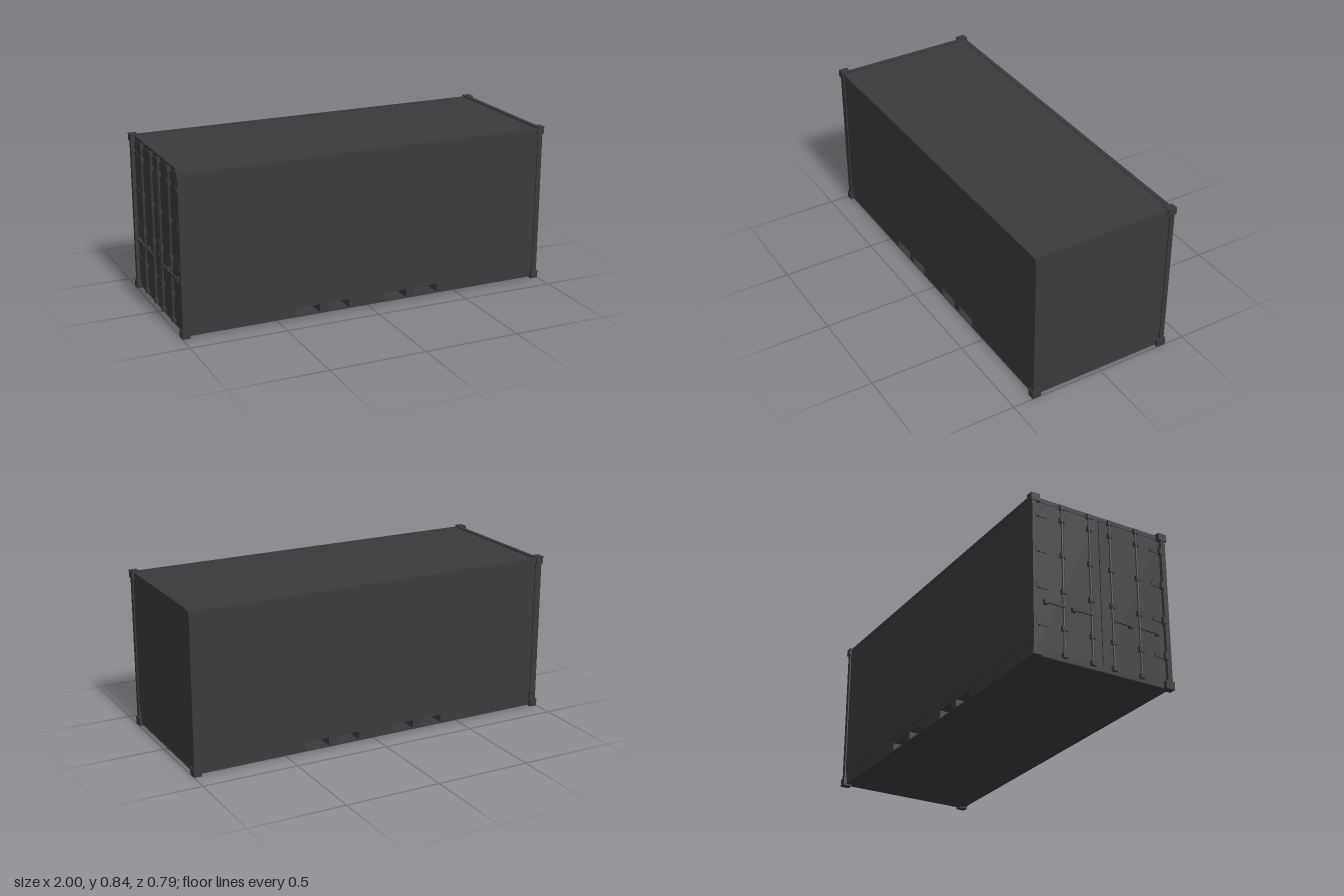
import * as THREE from 'three';

const paint = new THREE.MeshStandardMaterial({ color: 0x3a3a3a });

export function createModel() {
  const model = new THREE.Group();

  // Box given by its minimum and maximum corners
  function block(name, x0, x1, y0, y1, z0, z1, parent = model) {
    const mesh = new THREE.Mesh(new THREE.BoxGeometry(x1 - x0, y1 - y0, z1 - z0), paint);
    mesh.position.set((x0 + x1) / 2, (y0 + y1) / 2, (z0 + z1) / 2);
    mesh.name = name;
    parent.add(mesh);
    return mesh;
  }
  // Same box on both long sides, z0..z1 given for the front
  function pair(name, x0, x1, y0, y1, z0, z1, parent = model) {
    block(name, x0, x1, y0, y1, z0, z1, parent);
    block(name, x0, x1, y0, y1, -z1, -z0, parent);
  }

  // Base frame with four forklift tunnels running through it
  const pockets = [[-0.4, -0.27], [-0.23, -0.11], [0.09, 0.215], [0.26, 0.395]];
  const outline = new THREE.Shape();
  outline.moveTo(-0.97, 0.011);
  for (const [a, b] of pockets) {
    outline.lineTo(a, 0.011);
    outline.lineTo(a, 0.055);
    outline.lineTo(b, 0.055);
    outline.lineTo(b, 0.011);
  }
  outline.lineTo(0.982, 0.011);
  outline.lineTo(0.982, 0.08);
  outline.lineTo(-0.97, 0.08);
  outline.closePath();
  const baseGeometry = new THREE.ExtrudeGeometry(outline, { depth: 0.75, bevelEnabled: false });
  baseGeometry.translate(0, 0, -0.375);
  const base = new THREE.Mesh(baseGeometry, paint);
  base.name = 'baseFrame';
  model.add(base);
  block('underside', -0.975, 0.985, 0.007, 0.011, -0.378, 0.378);

  // Walls and roof
  pair('sideWall', -0.965, 0.975, 0.08, 0.815, 0.365, 0.38);
  block('endWall', 0.97, 0.988, 0.08, 0.815, -0.365, 0.365);
  block('roof', -0.965, 0.98, 0.81, 0.826, -0.375, 0.375);

  // Top rails and end beams
  pair('topRail', -0.965, 0.965, 0.81, 0.83, 0.365, 0.386);
  block('endTopBeam', 0.965, 0.99, 0.81, 0.833, -0.35, 0.35);
  block('doorHeader', -0.977, -0.955, 0.81, 0.833, -0.35, 0.35);
  block('doorSill', -0.977, -0.955, 0.009, 0.04, -0.365, 0.365);

  // Corner posts and corner castings
  for (const [x0, x1, p0, p1] of [[-1, -0.96, -0.995, -0.96], [0.96, 1, 0.97, 0.995]]) {
    pair('cornerPost', p0, p1, 0.03, 0.81, 0.361, 0.386);
    pair('bottomCasting', x0, x1, 0, 0.04, 0.345, 0.393);
    pair('topCasting', x0, x1, 0.8, 0.838, 0.345, 0.393);
  }

  // Two door leaves with hinges, locking bars, bar guides and handles
  const doors = new THREE.Group();
  doors.name = 'doors';
  model.add(doors);
  pair('doorLeaf', -0.977, -0.96, 0.04, 0.808, 0.002, 0.361, doors);
  for (const y of [0.17, 0.36, 0.55, 0.74]) {
    pair('hinge', -0.998, -0.975, y - 0.018, y + 0.018, 0.35, 0.372, doors);
    pair('hingeStrap', -0.982, -0.975, y - 0.01, y + 0.01, 0.3, 0.36, doors);
  }
  for (const z of [-0.215, -0.06, 0.06, 0.215]) {
    const bar = new THREE.Mesh(new THREE.CylinderGeometry(0.006, 0.006, 0.79, 10), paint);
    bar.name = 'lockingBar';
    bar.position.set(-0.985, 0.42, z);
    doors.add(bar);
    for (const y of [0.035, 0.17, 0.36, 0.55, 0.74, 0.81]) {
      block('barGuide', -0.994, -0.972, y - 0.012, y + 0.012, z - 0.013, z + 0.013, doors);
    }
    const side = Math.abs(z) > 0.1 ? Math.sign(z) : -Math.sign(z);
    const end = z + (Math.abs(z) > 0.1 ? side * 0.1 : -side * 0.1);
    block('handle', -0.996, -0.988, 0.275, 0.287, Math.min(z, end), Math.max(z, end), doors);
    block('handleCatch', -0.994, -0.975, 0.27, 0.292, end - 0.01, end + 0.01, doors);
  }
  return model;
}
